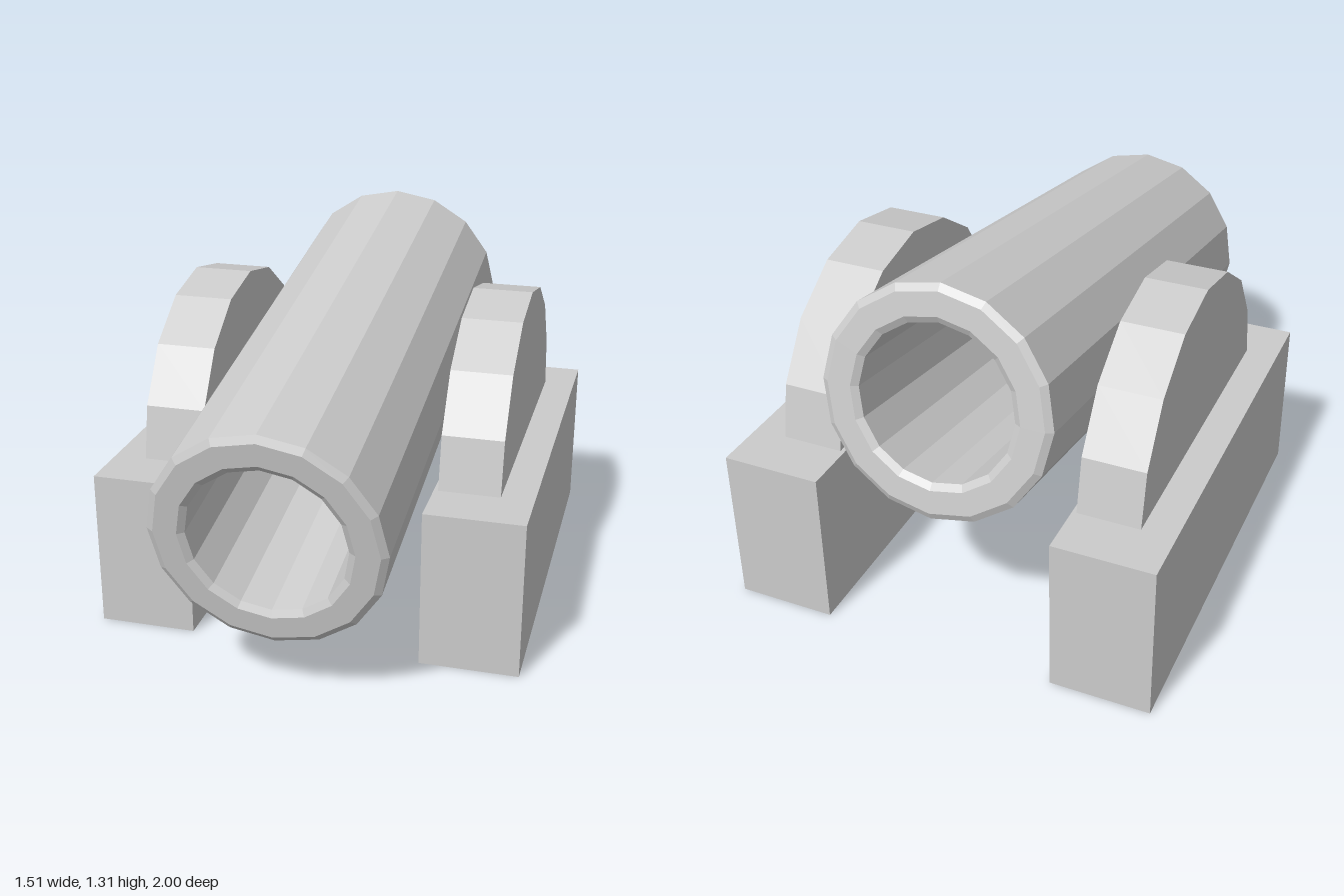
import * as THREE from 'three';

export function createModel() {
  const model = new THREE.Group();
  model.name = 'tiltedBarrelOnMount';
  const material = new THREE.MeshStandardMaterial({ color: 0xcccccc, flatShading: true });

  const add = (name, geometry, x, y, z) => {
    const mesh = new THREE.Mesh(geometry, material);
    mesh.name = name;
    mesh.position.set(x, y, z);
    model.add(mesh);
    return mesh;
  };

  // Hollow barrel with chamfered rims, tilted up towards the back
  const half = 0.95, chamfer = 0.015;
  const outer = 0.394, lip = 0.37, mouth = 0.29, bore = 0.267;
  const profile = [
    [outer, -half + chamfer], [outer, half - chamfer],
    [lip, half], [mouth, half],
    [bore, half - chamfer], [bore, -half + chamfer],
    [mouth, -half], [lip, -half],
    [outer, -half + chamfer],
  ].map(([r, h]) => new THREE.Vector2(r, h));
  const barrel = add('barrel', new THREE.LatheGeometry(profile, 16), 0, 0.762, 0);
  barrel.rotation.x = THREE.MathUtils.degToRad(100);

  // A base block and a half-round cheek on each side
  for (const [side, s] of [['left', 1], ['right', -1]]) {
    add(side + 'Base', new THREE.BoxGeometry(0.345, 0.565, 1.53), s * 0.5825, 0.2825, -0.235);
    const cheek = new THREE.CylinderGeometry(0.585, 0.585, 0.215, 8, 1, false, 0, Math.PI);
    cheek.rotateZ(Math.PI / 2);
    add(side + 'Cheek', cheek, s * 0.5325, 0.53, -0.24);
  }

  return model;
}
